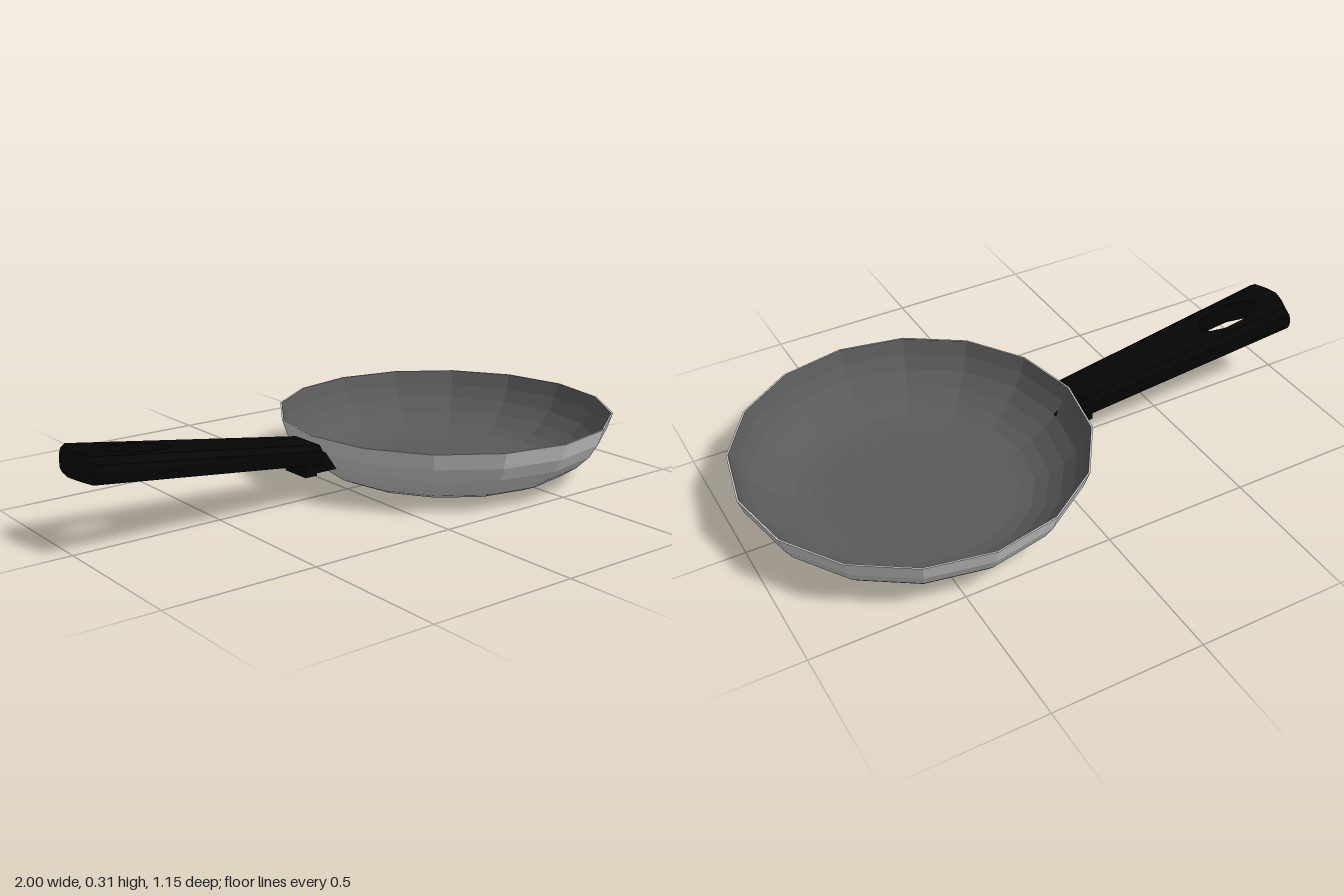
import * as THREE from 'three';

const SIDES = 16;

function part(name, geometry, material, parent) {
  const mesh = new THREE.Mesh(geometry, material);
  mesh.name = name;
  parent.add(mesh);
  return mesh;
}

const toPoints = (pairs) => pairs.map(([x, y]) => new THREE.Vector2(x, y));

// Flat grip with a hanging hole; local x = 0 sits at the pan, -x is the tip
function gripGeometry() {
  const length = 0.837;
  const shape = new THREE.Shape(toPoints([
    [0, -0.087], [0, 0.087], [-0.811, 0.115], [-0.827, 0.06], [-length, 0], [-0.827, -0.06], [-0.811, -0.115],
  ]));
  const hole = [];
  for (let i = 0; i < 10; i++) {
    const a = (i / 10) * Math.PI * 2;
    hole.push(new THREE.Vector2(-0.626 + 0.116 * Math.cos(a), 0.054 * Math.sin(a)));
  }
  shape.holes.push(new THREE.Path(hole));
  const depth = 0.062;
  const geo = new THREE.ExtrudeGeometry(shape, { depth, steps: 4, bevelEnabled: false });
  geo.translate(0, 0, -depth / 2);
  geo.rotateX(-Math.PI / 2);

  // Round the long edges layer by layer, and thicken the grip towards the tip
  const widths = [0.9, 0.97, 1, 0.96, 0.74];
  const p = geo.attributes.position;
  for (let i = 0; i < p.count; i++) {
    const x = p.getX(i), y = p.getY(i);
    const layer = Math.round((y / depth + 0.5) * 4);
    const onOutline = x > -0.1 || x < -0.76;
    p.setY(i, y * (1 + 0.28 * (-x / length)));
    if (onOutline) p.setZ(i, p.getZ(i) * widths[layer]);
  }
  geo.computeVertexNormals();
  return geo;
}

export function createModel() {
  const model = new THREE.Group();
  model.name = 'fryingPan';
  const metal = new THREE.MeshStandardMaterial({ color: 0xcccccc, flatShading: true, side: THREE.DoubleSide });
  const coating = new THREE.MeshStandardMaterial({ color: 0x5a5a5a, flatShading: true, side: THREE.DoubleSide });
  const black = new THREE.MeshStandardMaterial({ color: 0x050505, flatShading: true });

  // Bowl: bright outer wall with a thin rim, and a dark coated inside
  const wall = [
    [0, 0], [0.3, 0.001], [0.345, 0.004], [0.395, 0.013], [0.442, 0.034],
    [0.49, 0.068], [0.53, 0.109], [0.557, 0.155], [0.575, 0.21],
  ];
  const lining = wall.map(([r, y]) => [Math.max(0, r - 0.006), Math.min(0.21, y + 0.005)]);
  const rim = lining[lining.length - 1];
  const bowl = new THREE.Group();
  bowl.name = 'bowl';
  bowl.position.x = 0.425;
  model.add(bowl);
  part('bowlOutside', new THREE.LatheGeometry(toPoints([...wall, rim]), SIDES), metal, bowl);
  part('bowlInside', new THREE.LatheGeometry(toPoints(lining.reverse()), SIDES), coating, bowl);

  const handle = new THREE.Group();
  handle.name = 'handle';
  model.add(handle);

  // Grip, tilted up away from the pan
  const grip = part('grip', gripGeometry(), black, handle);
  grip.position.set(-0.165, 0.165, 0);
  grip.rotation.z = -0.132;

  // Neck with a collar under the grip, cut to meet the sloping wall
  const neckShape = new THREE.Shape(toPoints([
    [-0.21, 0.168], [-0.21, 0.092], [-0.165, 0.092], [-0.165, 0.1], [-0.088, 0.1], [-0.13, 0.162],
  ]));
  const neck = part('neck', new THREE.ExtrudeGeometry(neckShape, { depth: 0.11, bevelEnabled: false }), black, handle);
  neck.position.z = -0.055;

  return model;
}
